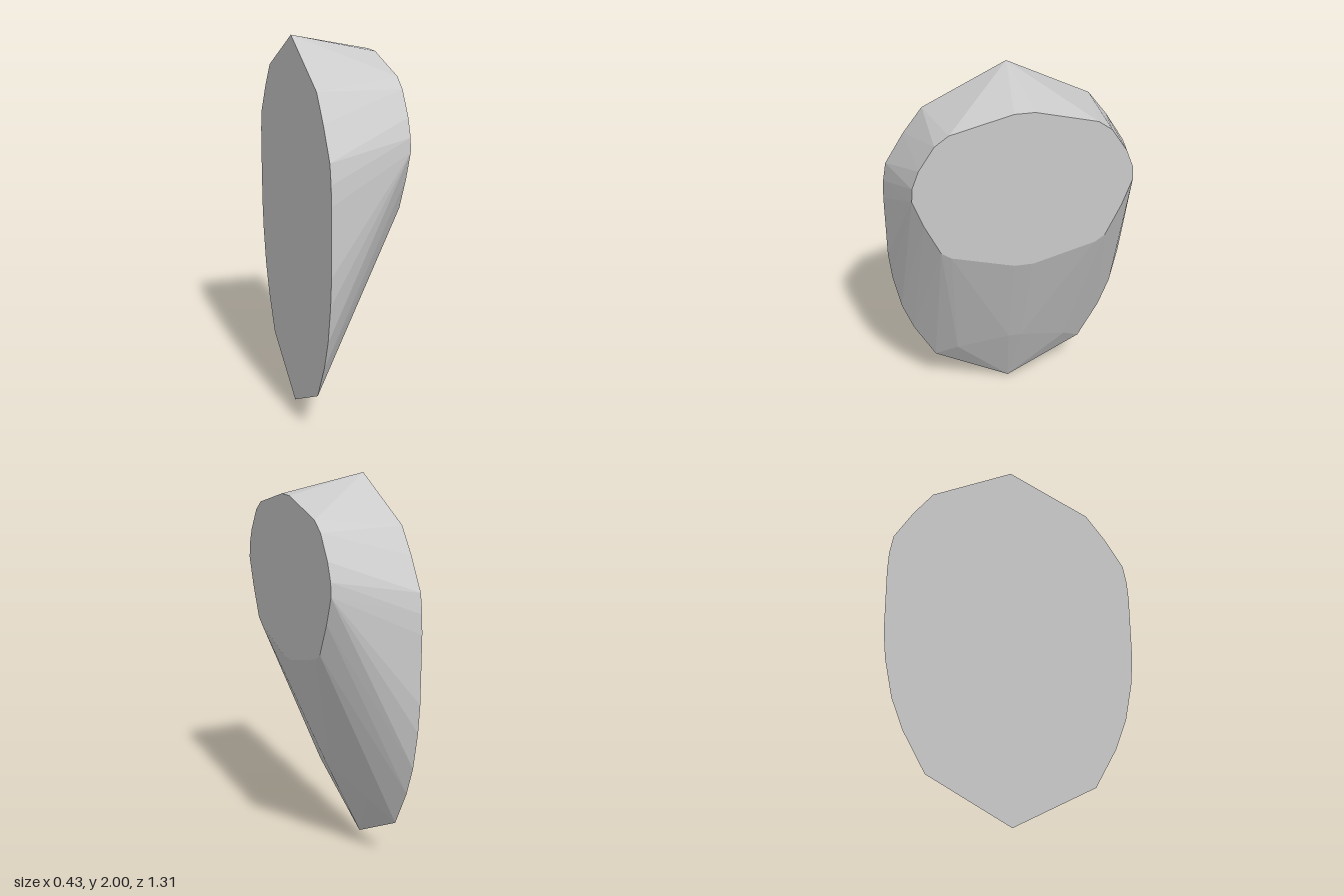
import * as THREE from 'three';
import { ConvexGeometry } from 'three/addons/geometries/ConvexGeometry.js';

export function createModel() {
  const group = new THREE.Group();
  const points = [];
  // Adds a half outline of [z, y] pairs at one x, mirrored across z = 0
  const addOutline = (x, outline) => {
    for (const [z, y] of outline) {
      points.push(new THREE.Vector3(x, y, z));
      if (z > 0) points.push(new THREE.Vector3(x, y, -z));
    }
  };

  // Large flat face
  addOutline(-0.213, [
    [0, 2], [0.43, 1.79], [0.53, 1.66], [0.63, 1.5], [0.648, 1.4], [0.654, 1.3],
    [0.654, 0.95], [0.64, 0.8], [0.6, 0.6], [0.54, 0.44], [0.425, 0.23], [0, 0],
  ]);
  // Bulge low on the sloping underside
  addOutline(-0.015, [[0.035, 0.445]]);
  addOutline(-0.108, [[0.31, 0.34]]);
  // Small raised face
  addOutline(0.213, [
    [0.05, 1.908], [0.36, 1.83], [0.43, 1.78], [0.51, 1.66], [0.545, 1.57],
    [0.55, 1.5], [0.5, 1.36], [0.42, 1.19], [0.37, 1.155], [0.05, 1.066],
  ]);

  const body = new THREE.Mesh(
    new ConvexGeometry(points),
    new THREE.MeshStandardMaterial({ color: 0xcccccc, flatShading: true }),
  );
  body.name = 'facetedBody';
  group.add(body);
  return group;
}
